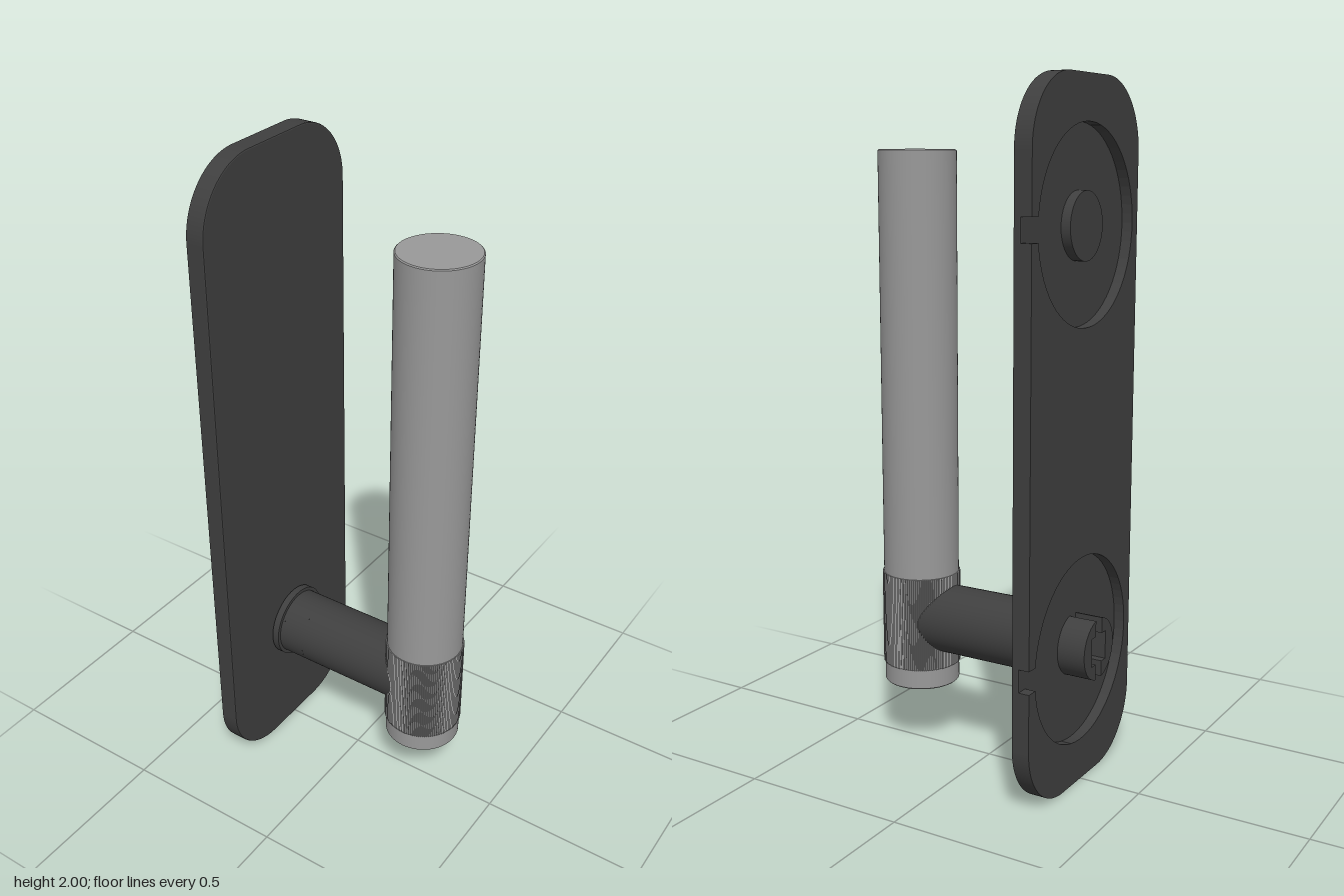
import * as THREE from 'three';
import { ParametricGeometry } from 'three/addons/geometries/ParametricGeometry.js';

const TAU = Math.PI * 2;
const AXIS_Y = 0.41;              // height of the spindle and neck axis
const GRIP_X = 0.243;             // vertical axis of the grip
const NECK_R = 0.103;

export function createModel() {
  const model = new THREE.Group();
  const black = new THREE.MeshStandardMaterial({ color: 0x3f3f3f, side: THREE.DoubleSide });
  black.name = 'dark coating';
  const steel = new THREE.MeshStandardMaterial({ color: 0x999999 });
  steel.name = 'grey metal';
  const ribbedSteel = steel;

  const add = (name, geometry, material, x = 0, y = 0, z = 0, parent = model) => {
    const mesh = new THREE.Mesh(geometry, material);
    mesh.name = name;
    mesh.position.set(x, y, z);
    parent.add(mesh);
    return mesh;
  };
  // Shapes are drawn in (-z, y) and extruded along +x
  const extrudeX = (shape, depth, bevel = 0) => new THREE.ExtrudeGeometry(shape, {
    depth: depth - 2 * bevel, curveSegments: 32, bevelEnabled: bevel > 0,
    bevelThickness: bevel, bevelSize: bevel, bevelOffset: -bevel, bevelSegments: 2,
  }).translate(0, 0, bevel).rotateY(Math.PI / 2);
  const rodX = (r, x0, x1) => new THREE.CylinderGeometry(r, r, x1 - x0, 64)
    .rotateZ(-Math.PI / 2).translate((x0 + x1) / 2, 0, 0);

  // Plate outline; recesses listed are cut in from the rear edge as keyholes
  const plateShape = (recesses) => {
    const w = 0.308, c = 0.2, r = 0.275, h = 0.033, a = Math.asin(h / r);
    const s = new THREE.Shape();
    s.moveTo(w, c);
    for (const y of recesses) {
      s.lineTo(w, y - h);
      s.lineTo(r * Math.cos(a), y - h);
      s.absarc(0, y, r, -a, a - TAU, true);
      s.lineTo(w, y + h);
    }
    s.lineTo(w, 2 - c);
    s.absarc(w - c, 2 - c, c, 0, Math.PI / 2);
    s.absarc(c - w, 2 - c, c, Math.PI / 2, Math.PI);
    s.absarc(c - w, c, c, Math.PI, Math.PI * 1.5);
    s.absarc(w - c, c, c, Math.PI * 1.5, TAU);
    return s;
  };

  // Back plate: solid face, recessed back, round boss
  const plate = new THREE.Group();
  plate.name = 'backPlate';
  model.add(plate);
  add('plateFace', extrudeX(plateShape([]), 0.022, 0.004), black, -0.28, 0, 0, plate);
  add('plateBack', extrudeX(plateShape([0.4, 1.6]), 0.036), black, -0.312, 0, 0, plate);
  add('upperBoss', rodX(0.095, -0.308, -0.275), black, 0, 1.6, 0, plate);

  // Split spindle: two half rounds with a square socket between them
  const half = new THREE.Shape();
  const gap = 0.018, sr = 0.09, sq = 0.042, sa = Math.acos(gap / sr);
  half.moveTo(gap, -sr * Math.sin(sa));
  half.absarc(0, 0, sr, -sa, sa);
  half.lineTo(gap, sq);
  half.lineTo(sq, sq);
  half.lineTo(sq, -sq);
  half.lineTo(gap, -sq);
  for (const turn of [0, Math.PI]) {
    add('spindleHalf', extrudeX(half, 0.117), black, -0.365, AXIS_Y).rotation.x = turn;
  }
  model.children.filter((m) => m.name === 'spindleHalf')[1].scale.set(1, 1, 1);

  // Flange at the foot of the neck
  add('neckFlange', rodX(0.114, -0.25, -0.228), black, 0, AXIS_Y);

  // Neck surface, angle 0 faces the rear; a square is left out for the screw hole
  const neck = new THREE.Group();
  neck.name = 'neck';
  model.add(neck);
  const onNeck = (x, t, out) =>
    out.set(x, AXIS_Y + NECK_R * Math.sin(t), -NECK_R * Math.cos(t));
  const neckPiece = (x0, x1, t0, t1) => add('neckTube', new ParametricGeometry(
    (u, v, out) => onNeck(x0 + (x1 - x0) * u, t0 + (t1 - t0) * v, out), 1, 64), black, 0, 0, 0, neck);
  const holeX = -0.182, holeR = 0.026, side = 0.038, st = side / NECK_R;
  neckPiece(-0.23, holeX - side, 0, TAU);
  neckPiece(holeX - side, holeX + side, st, TAU - st);
  neckPiece(holeX + side, 0.22, 0, TAU);

  // Patch from square to round hole, then the hole wall and the screw
  add('holePatch', new ParametricGeometry((u, v, out) => {
    const c = Math.cos(u * TAU), s = Math.sin(u * TAU);
    const edge = side / Math.max(Math.abs(c), Math.abs(s));
    const d = holeR + (edge - holeR) * v;
    onNeck(holeX + d * c, d * s / NECK_R, out);
  }, 48, 4), black, 0, 0, 0, neck);
  add('holeWall', new ParametricGeometry((u, v, out) => {
    onNeck(holeX + holeR * Math.cos(u * TAU), holeR * Math.sin(u * TAU) / NECK_R, out);
    out.z += (-0.07 - out.z) * v;
  }, 48, 1), black, 0, 0, 0, neck);
  const screw = new THREE.Shape().absarc(0, 0, holeR, 0, TAU);
  const hex = Array.from({ length: 6 }, (_, i) => new THREE.Vector2(
    0.014 * Math.cos(i * TAU / 6), 0.014 * Math.sin(i * TAU / 6)));
  screw.holes.push(new THREE.Path(hex));
  add('setScrew', new THREE.ExtrudeGeometry(screw, { depth: 0.02, bevelEnabled: false }),
    black, holeX, AXIS_Y, -0.085, neck);
  add('screwSocketFloor', new THREE.CircleGeometry(holeR, 24), black, holeX, AXIS_Y, -0.066, neck);

  // Grip bar with lightly eased ends
  const r = 0.114, y0 = 0.203, y1 = 1.806, e = 0.003;
  const profile = (pts) => pts.map(([x, y]) => new THREE.Vector2(x, y));
  add('gripBar', new THREE.CylinderGeometry(r, r, y1 - y0 - 2 * e, 64, 1, true),
    steel, GRIP_X, (y0 + y1) / 2);
  add('gripTop', new THREE.LatheGeometry(profile([[r, y1 - e], [r - e, y1]]), 64), steel, GRIP_X);
  add('gripBottom', new THREE.LatheGeometry(profile([[r - e, y0], [r, y0 + e]]), 64), steel, GRIP_X);
  add('gripTopCap', new THREE.CircleGeometry(r - e, 64).rotateX(-Math.PI / 2), steel, GRIP_X, y1);
  add('gripBottomCap', new THREE.CircleGeometry(r - e, 64).rotateX(Math.PI / 2), steel, GRIP_X, y0);

  // Finely ribbed sleeve around the grip
  const teeth = 120;
  const ribs = new THREE.Shape(Array.from({ length: teeth * 2 }, (_, i) => {
    const a = i * TAU / (teeth * 2), d = i % 2 ? 0.1185 : 0.1145;
    return new THREE.Vector2(d * Math.cos(a), d * Math.sin(a));
  }));
  add('ribbedSleeve', new THREE.ExtrudeGeometry(ribs, { depth: 0.285, bevelEnabled: false })
    .rotateX(-Math.PI / 2), ribbedSteel, GRIP_X, 0.264);

  return model;
}
